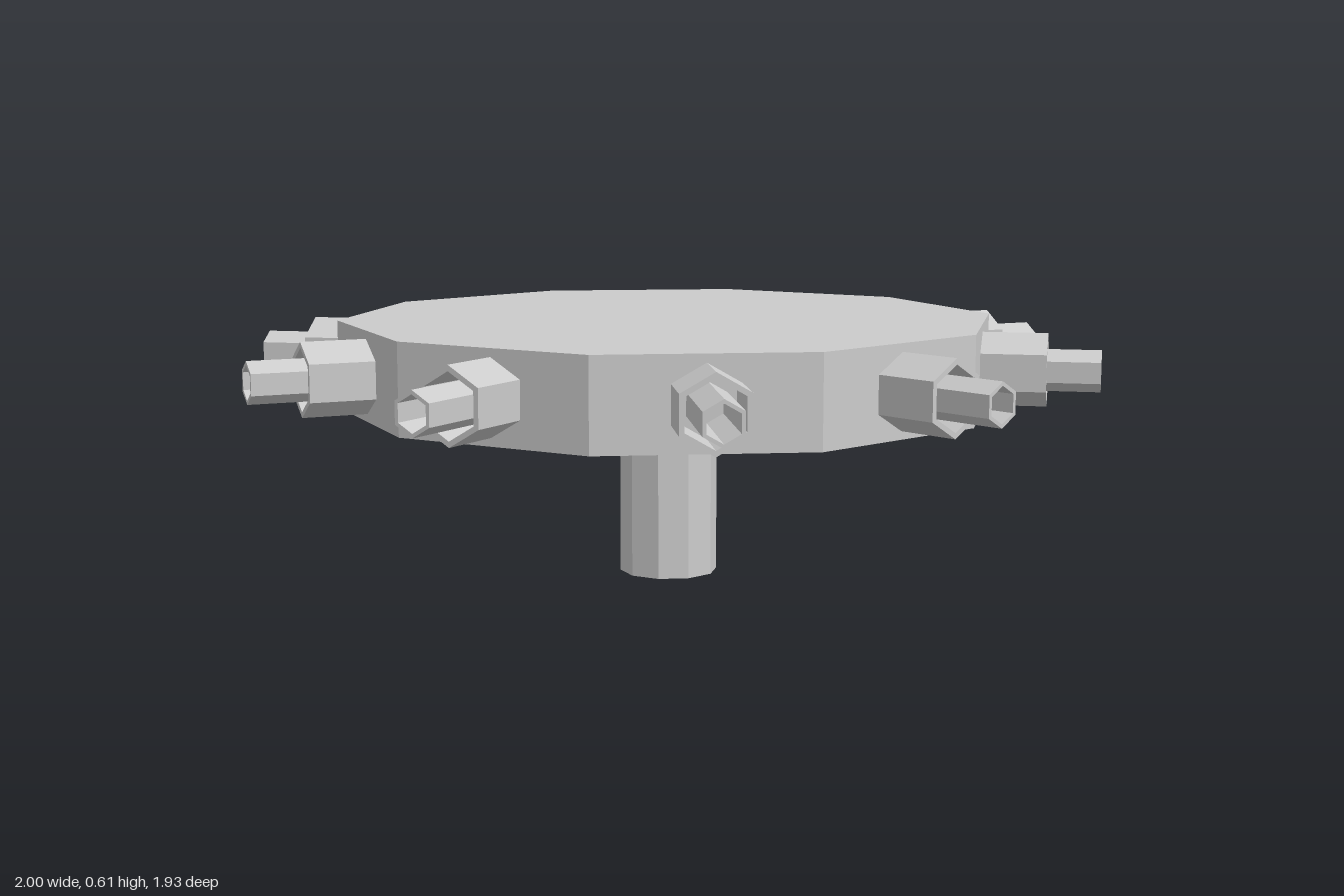
import * as THREE from 'three';

const material = new THREE.MeshStandardMaterial({ color: 0xcccccc, flatShading: true });
const SIDES = 10;
const DISC_R = 0.77, DISC_BOTTOM = 0.4, DISC_H = 0.205;
const NOZZLE_Y = DISC_BOTTOM + DISC_H / 2;

function part(name, geometry) {
  const mesh = new THREE.Mesh(geometry, material);
  mesh.name = name;
  return mesh;
}

// Hexagon with a corner pointing up
function hexPoints(radius) {
  return Array.from({ length: 6 }, (_, i) => {
    const a = Math.PI / 2 + (i * Math.PI) / 3;
    return new THREE.Vector2(radius * Math.cos(a), radius * Math.sin(a));
  });
}

// Hollow hexagonal pipe running along +z from start to end
function hexPipe(outer, inner, start, end) {
  const shape = new THREE.Shape(hexPoints(outer));
  shape.holes.push(new THREE.Path(hexPoints(inner).reverse()));
  const geometry = new THREE.ExtrudeGeometry(shape, { depth: end - start, bevelEnabled: false });
  return geometry.translate(0, 0, start);
}

export function createModel() {
  const model = new THREE.Group();
  model.name = 'nozzleWheel';

  // Ten-sided disc and its stem
  const disc = part('disc', new THREE.CylinderGeometry(DISC_R, DISC_R, DISC_H, SIDES));
  disc.position.y = NOZZLE_Y;
  const stem = part('stem', new THREE.CylinderGeometry(0.115, 0.115, DISC_BOTTOM, SIDES));
  stem.position.y = DISC_BOTTOM / 2;
  model.add(disc, stem);

  // One two-stage nozzle on each flat of the rim
  const sleeveGeometry = hexPipe(0.084, 0.071, 0.725, 0.88);
  const barrelGeometry = hexPipe(0.048, 0.039, 0.725, 1);
  for (let i = 0; i < SIDES; i++) {
    const nozzle = new THREE.Group();
    nozzle.name = `nozzle${i + 1}`;
    nozzle.add(part('sleeve', sleeveGeometry), part('barrel', barrelGeometry));
    nozzle.position.y = NOZZLE_Y;
    nozzle.rotation.y = ((i + 0.5) * 2 * Math.PI) / SIDES;
    model.add(nozzle);
  }
  return model;
}
